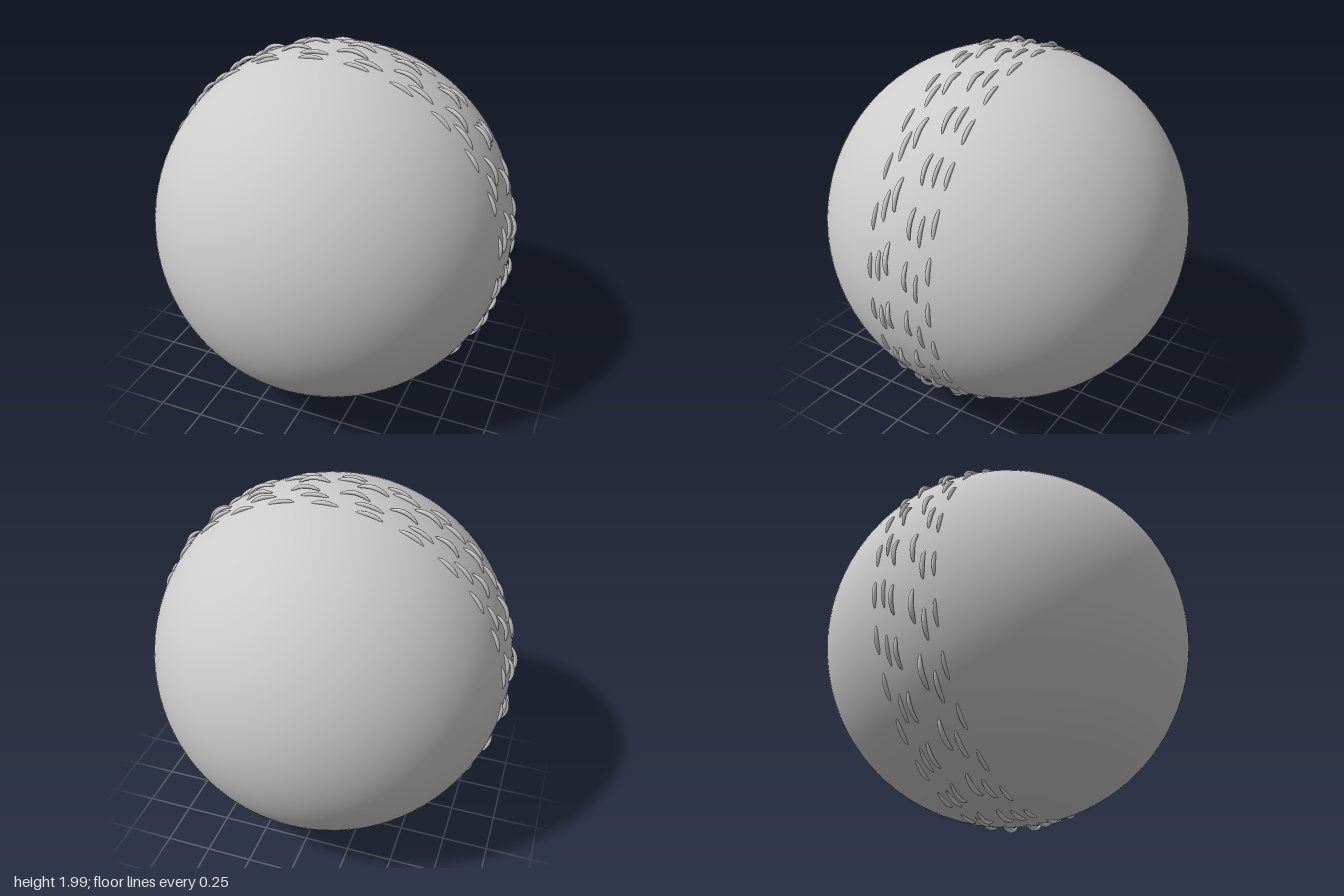
import * as THREE from 'three';

const BALL = { radius: 0.971, depth: 0.986 };

// Seam rows: z position, stitch count, starting angle (degrees),
// half length, half width, height above the ball
const ROWS = [
  { z: 0.165, count: 25, start: 7, half: 0.068, width: 0.009, rise: 0.017 },
  { z: 0.109, count: 21, start: 8, half: 0.078, width: 0.012, rise: 0.02 },
  { z: 0.055, count: 20, start: 11, half: 0.085, width: 0.014, rise: 0.03 },
  { z: -0.055, count: 24, start: 7.5, half: 0.078, width: 0.011, rise: 0.03 },
  { z: -0.11, count: 22, start: 4.7, half: 0.075, width: 0.009, rise: 0.019 },
  { z: -0.17, count: 27, start: 10.7, half: 0.07, width: 0.011, rise: 0.017 },
];

// A tapered crescent bent around the ball, with its middle bowed outwards
function stitchGeometry({ z, half, width, rise }) {
  const surface = BALL.radius * Math.sqrt(1 - (z / BALL.depth) ** 2);
  const thickness = 0.011;
  const geometry = new THREE.SphereGeometry(1, 10, 12);
  const p = geometry.attributes.position;
  for (let i = 0; i < p.count; i++) {
    const along = p.getY(i);
    const bow = (rise - thickness) * (1 - along * along) - 0.003 * along * along;
    const r = surface + bow + p.getX(i) * thickness;
    const a = (along * half) / surface;
    p.setXYZ(i, r * Math.cos(a), r * Math.sin(a), p.getZ(i) * width);
  }
  geometry.computeVertexNormals();
  return geometry;
}

export function createModel() {
  const model = new THREE.Group();
  model.name = 'ball';
  const material = new THREE.MeshStandardMaterial({ color: 0xcccccc });

  // Smooth body, slightly longer across the seam
  const bodyGeometry = new THREE.SphereGeometry(1, 96, 64);
  bodyGeometry.rotateX(Math.PI / 2);
  bodyGeometry.scale(BALL.radius, BALL.radius, BALL.depth);
  const body = new THREE.Mesh(bodyGeometry, material);
  body.name = 'body';
  body.position.y = 1;
  model.add(body);

  // Six rings of stitches around the ball
  const seam = new THREE.Group();
  seam.name = 'seam';
  seam.position.y = 1;
  ROWS.forEach((row, index) => {
    const ring = new THREE.Group();
    ring.name = `stitchRow${index + 1}`;
    ring.position.z = row.z;
    const geometry = stitchGeometry(row);
    for (let i = 0; i < row.count; i++) {
      const stitch = new THREE.Mesh(geometry, material);
      stitch.name = 'stitch';
      stitch.rotation.z = THREE.MathUtils.degToRad(row.start + (360 * i) / row.count);
      ring.add(stitch);
    }
    seam.add(ring);
  });
  model.add(seam);
  return model;
}
